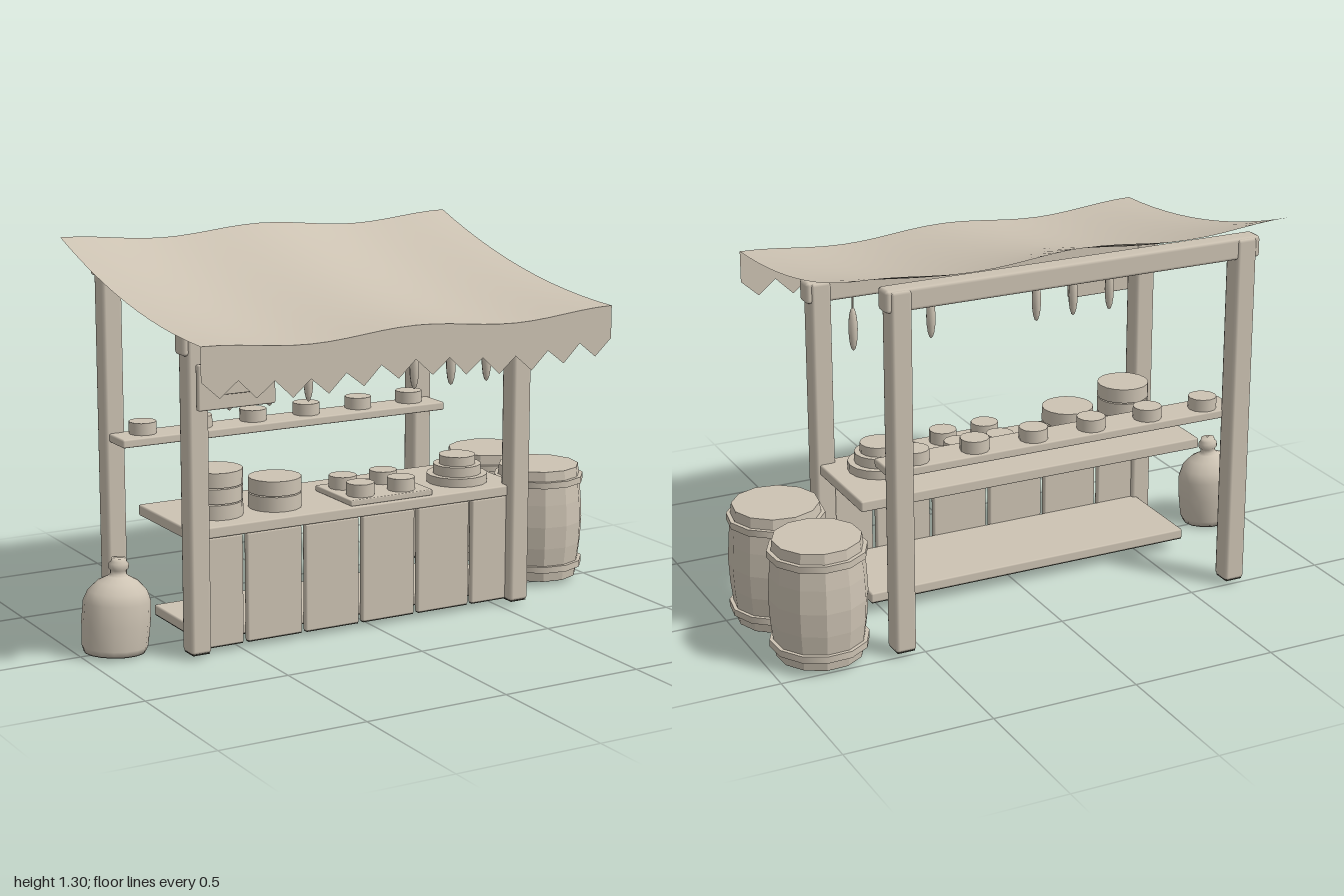
import * as THREE from 'three';
import { RoundedBoxGeometry } from 'three/addons/geometries/RoundedBoxGeometry.js';

export function createModel() {
  const group = new THREE.Group();
  group.name = 'marketStall';
  const clay = new THREE.MeshStandardMaterial({ color: 0xcdc3b3, side: THREE.DoubleSide });
  clay.name = 'pale clay';
  const dark = new THREE.MeshStandardMaterial({ color: 0x3f3f36 });
  dark.name = 'dark underside';

  const add = (name, geometry, x = 0, y = 0, z = 0, parent = group, material = clay) => {
    const mesh = new THREE.Mesh(geometry, material);
    mesh.name = name;
    mesh.position.set(x, y, z);
    parent.add(mesh);
    return mesh;
  };
  // Box with softened edges, given by its limits
  const block = (name, x0, x1, y0, y1, z0, z1, r = 0.006) =>
    add(name, new RoundedBoxGeometry(x1 - x0, y1 - y0, z1 - z0, 1, r),
      (x0 + x1) / 2, (y0 + y1) / 2, (z0 + z1) / 2);
  // Block whose underside is covered by a thin dark plate
  const groundedBlock = (name, x0, x1, y0, y1, z0, z1, r = 0.006) => {
    block(name, x0, x1, y0, y1, z0, z1, r);
    add(name + 'Underside', new THREE.BoxGeometry(x1 - x0 - r, 0.003, z1 - z0 - r),
      (x0 + x1) / 2, y0 - 0.0005, (z0 + z1) / 2, group, dark);
  };
  // Upright disc standing on y0
  const disc = (name, x, y0, z, r, h, sides = 16, parent = group, material = clay) =>
    add(name, new THREE.CylinderGeometry(r, r, h, sides), x, y0 + h / 2, z, parent, material);
  const lathe = (points, sides) =>
    new THREE.LatheGeometry(points.map(([r, y]) => new THREE.Vector2(r, y)), sides);

  // Frame: two posts and a cross beam at the front and at the back
  for (const [side, z, top] of [['front', 0.185, 1.08], ['back', -0.47, 1.245]]) {
    groundedBlock(side + 'PostRight', -0.703, -0.63, 0.017, top - 0.004, z - 0.038, z + 0.038, 0.012);
    groundedBlock(side + 'PostLeft', 0.532, 0.605, 0.017, top - 0.004, z - 0.038, z + 0.038, 0.012);
    block(side + 'Beam', -0.718, 0.62, top - 0.075, top, z - 0.034, z + 0.034, 0.012);
  }

  // Counter, shelves and front planks
  block('counterTop', -0.69, 0.59, 0.392, 0.43, -0.205, 0.19);
  groundedBlock('bottomShelf', -0.65, 0.55, 0.045, 0.08, -0.18, 0.165);
  block('backShelf', -0.69, 0.59, 0.598, 0.628, -0.445, -0.317);
  for (let i = 0; i < 6; i++) {
    const x = -0.596 + i * 0.2185;
    groundedBlock('frontPlank', x - 0.102, x + 0.102, 0.022, 0.392, 0.16, 0.185);
  }

  // Canopy sheet: sags toward the front and ripples along x
  const ripple = (x) => 0.013 * Math.cos((2 * Math.PI * (x + 0.81)) / 0.76);
  const canopyY = (x, z) => 1.141 - 0.1915 * z + 0.162 * z * z + ripple(x);
  const sheet = new THREE.PlaneGeometry(1.52, 1.064, 24, 12).rotateX(-Math.PI / 2).translate(-0.05, 0, 0);
  const sp = sheet.attributes.position;
  for (let i = 0; i < sp.count; i++) sp.setY(i, canopyY(sp.getX(i), sp.getZ(i)));
  sheet.computeVertexNormals();
  add('canopy', sheet);

  // Zigzag valance along the front edge
  const valance = new THREE.PlaneGeometry(1.52, 1, 24, 1).translate(-0.05, 0, 0.532);
  const vp = valance.attributes.position;
  for (let i = 0; i < vp.count; i++) {
    const x = vp.getX(i);
    const hem = ((i % 25) % 2 ? 0.92 : 0.975) + ripple(x);
    vp.setY(i, i < 25 ? canopyY(x, 0.532) : hem);
  }
  add('valance', valance);

  // Cups on the back shelf
  for (let i = 0; i < 6; i++) disc('shelfCup', -0.583 + i * 0.213, 0.628, -0.392, 0.048, 0.042, 12);

  // Round stacks on the counter
  for (const [x, count] of [[-0.52, 3], [-0.3, 2]])
    for (let i = 0; i < count; i++) disc('stackedRound', x, 0.43 + i * 0.054, 0.04, 0.09, 0.05);

  // Stepped stack
  disc('steppedBase', 0.42, 0.43, 0.04, 0.107, 0.03);
  disc('steppedMiddle', 0.42, 0.46, 0.04, 0.084, 0.034);
  disc('steppedTop', 0.42, 0.494, 0.04, 0.064, 0.032);

  // Tray with four cups
  block('tray', -0.085, 0.235, 0.43, 0.451, -0.07, 0.18, 0.004);
  for (const x of [-0.016, 0.144])
    for (const z of [0, 0.12]) disc('trayCup', x, 0.45, z, 0.048, 0.045, 12);

  // Barrels with two hoops each
  const staves = [[0, 0.017], [0.143, 0.017], [0.158, 0.14], [0.162, 0.22], [0.158, 0.3],
    [0.145, 0.422], [0, 0.422]];
  for (const [x, z, turn] of [[0.835, -0.062, 0.1], [0.815, -0.372, 0.3]]) {
    const barrel = new THREE.Group();
    barrel.name = 'barrel';
    barrel.position.set(x, 0, z);
    barrel.rotation.y = turn;
    const body = lathe(staves, 12).toNonIndexed();
    body.computeVertexNormals();
    add('barrelBody', body, 0, 0, 0, barrel);
    for (const y of [0.052, 0.364]) disc('barrelHoop', 0, y, 0, 0.163, 0.023, 12, barrel);
    disc('barrelUnderside', 0, 0.015, 0, 0.141, 0.003, 12, barrel, dark);
    group.add(barrel);
  }

  // Leaning jug
  const jug = new THREE.Group();
  jug.name = 'jug';
  jug.position.set(-0.885, 0.01, 0.016);
  jug.rotation.z = -0.07;
  jug.scale.z = 0.86;
  add('jugBody', lathe([[0, 0], [0.105, 0], [0.112, 0.02], [0.116, 0.1], [0.114, 0.17],
    [0.1, 0.205], [0.07, 0.235], [0.036, 0.252], [0.027, 0.26], [0.027, 0.272], [0.034, 0.278],
    [0.034, 0.295], [0.026, 0.302], [0.025, 0.313], [0, 0.313]], 16), 0, 0, 0, jug);
  disc('jugUnderside', 0, -0.002, 0, 0.104, 0.003, 16, jug, dark);
  group.add(jug);

  // Goods hanging from the front beam
  for (const x of [-0.54, -0.395, -0.25, 0.155, 0.3, 0.443]) {
    const pendant = add('hangingGood', new THREE.SphereGeometry(1, 8, 8), x, 0.885, 0.185);
    pendant.scale.set(0.017, 0.077, 0.017);
    disc('hangingString', x, 0.95, 0.185, 0.003, 0.07, 6);
  }

  // Sign board on two cords with a raised plaque
  block('signBoard', -0.7, -0.425, 0.84, 0.99, 0.266, 0.289);
  block('signPlaque', -0.635, -0.495, 0.888, 0.947, 0.285, 0.298, 0.003);
  for (const x of [-0.66, -0.465]) disc('signCord', x, 0.985, 0.277, 0.004, 0.075, 6);

  return group;
}
